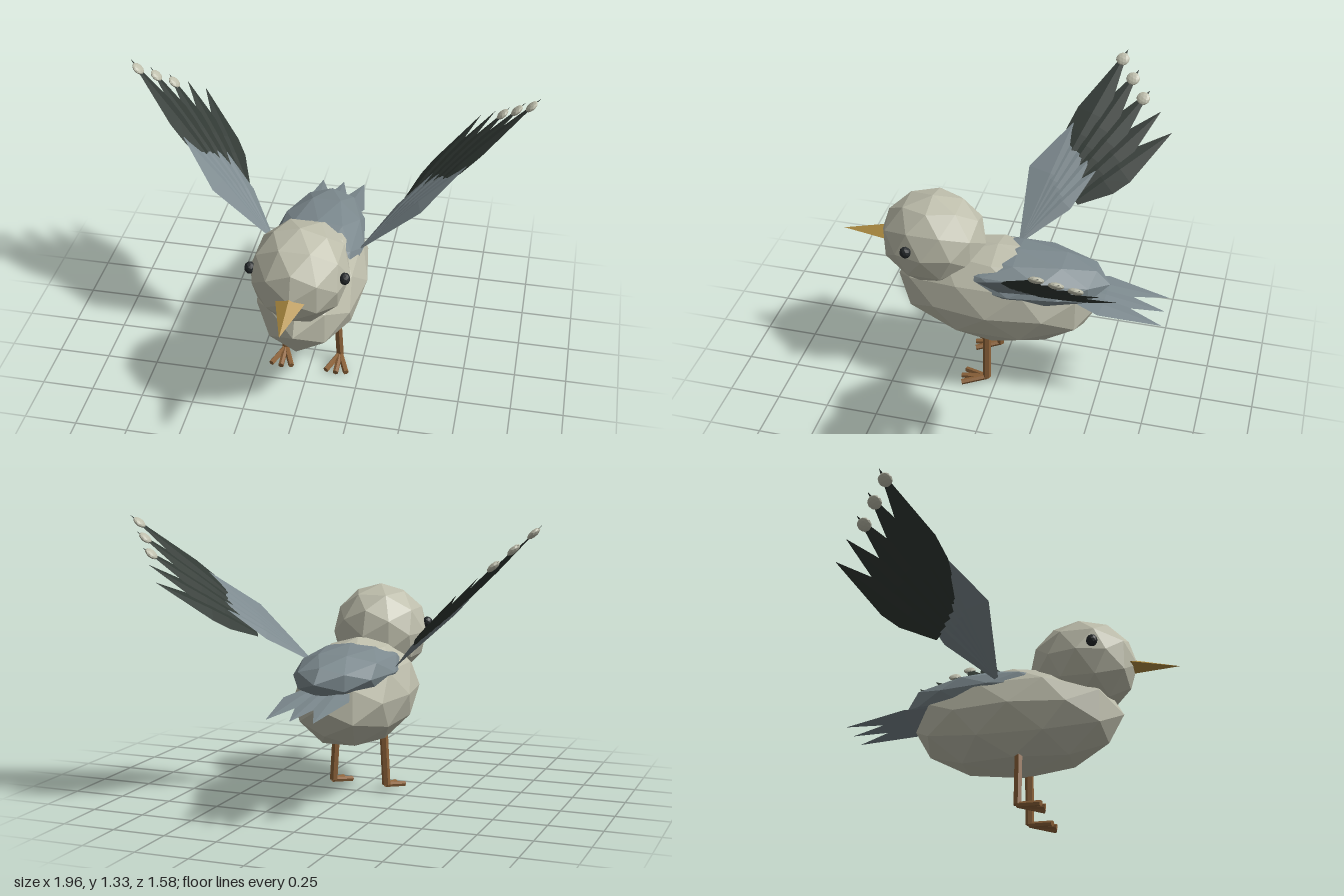
import * as THREE from 'three';

const V = (x, y, z) => new THREE.Vector3(x, y, z);
const paint = (name, color) => {
  const m = new THREE.MeshStandardMaterial({ color, flatShading: true });
  m.name = name;
  return m;
};

export function createModel() {
  const bird = new THREE.Group();
  bird.name = 'bird';
  const cream = paint('cream', 0xbdbdab);
  const slate = paint('slate', 0x7b888d);
  const dark = paint('darkFeather', 0x313934);
  const horn = paint('beakYellow', 0xb08d42);
  const brown = paint('legBrown', 0x8c6239);
  const black = paint('eyeBlack', 0x24282a);

  const add = (parent, name, geometry, material) => {
    const mesh = new THREE.Mesh(geometry, material);
    mesh.name = name;
    parent.add(mesh);
    return mesh;
  };

  // Faceted ellipsoid
  const blob = (parent, name, material, pos, rx, ry, rz) => {
    const g = new THREE.IcosahedronGeometry(1, 1).scale(rx, ry, rz);
    const mesh = add(parent, name, g, material);
    mesh.position.copy(pos);
    return mesh;
  };

  // Six-sided rod between two points
  const rod = (parent, name, material, a, b, r) => {
    const d = b.clone().sub(a);
    const mesh = add(parent, name, new THREE.CylinderGeometry(r, r, d.length(), 6), material);
    mesh.position.copy(a).add(b).multiplyScalar(0.5);
    mesh.quaternion.setFromUnitVectors(V(0, 1, 0), d.normalize());
  };

  // Right-handed frame of a feather: side, face normal, direction
  const frame = (root, tip, up) => {
    const d = tip.clone().sub(root).normalize();
    const s = up.clone().cross(d).normalize();
    return [s, d.clone().cross(s), d];
  };

  // Flat feather with a ridge; profile = [fraction along, half width]
  const feather = (parent, name, material, root, tip, up, profile, thick) => {
    const [s, n] = frame(root, tip, up);
    const wMax = Math.max(...profile.map((p) => p[1]));
    const rings = profile.map(([f, w]) => {
      const c = root.clone().lerp(tip, f);
      const t = (thick * w) / wMax;
      return [[s, w], [n, t], [s, -w], [n, -t]].map(([v, k]) => c.clone().addScaledVector(v, k));
    });
    const pts = [];
    for (let j = 0; j < rings.length - 1; j++) {
      for (let k = 0; k < 4; k++) {
        const a = rings[j], b = rings[j + 1], m = (k + 1) % 4;
        pts.push(a[k], a[m], b[m], a[k], b[m], b[k]);
      }
    }
    const g = new THREE.BufferGeometry().setFromPoints(pts);
    g.computeVertexNormals();
    return add(parent, name, g, material);
  };

  // Body, head and back
  blob(bird, 'body', cream, V(0, 0.49, 0.02), 0.26, 0.26, 0.5);
  blob(bird, 'head', cream, V(0, 0.742, 0.335), 0.23, 0.231, 0.257);
  blob(bird, 'mantle', slate, V(0, 0.61, -0.08), 0.225, 0.125, 0.445);

  // Beak
  const beakShape = new THREE.ConeGeometry(1, 0.25, 4).scale(0.073, 1, 0.04).rotateX(Math.PI / 2 + 0.08);
  add(bird, 'beak', beakShape, horn).position.set(0, 0.722, 0.665);

  // Tail feathers
  const tailProfile = [[0, 0.03], [0.42, 0.08], [1, 0.001]];
  for (const i of [-1, 0, 1]) {
    feather(bird, 'tailFeather', slate, V(i * 0.055, 0.57, -0.3), V(i * 0.11, 0.5, -0.79),
      V(0, 1, 0), tailProfile, 0.008);
  }

  for (const side of [1, -1]) {
    const label = side > 0 ? 'left' : 'right';
    const P = (x, y, z) => V(side * x, y, z);

    blob(bird, label + 'Eye', black, P(0.217, 0.78, 0.41), 0.025, 0.029, 0.027);

    // Leg with three front toes
    const leg = new THREE.Group();
    leg.name = label + 'Leg';
    bird.add(leg);
    const ankle = P(0.137, 0.035, 0.043);
    rod(leg, 'shank', brown, P(0.122, 0.29, 0.045), ankle, 0.02);
    for (const t of [-1, 0, 1]) {
      rod(leg, 'toe', brown, ankle, P(0.137 + t * 0.05, 0.016, 0.17 - Math.abs(t) * 0.01), 0.014);
    }

    // Raised wing: dark flight feathers under a fan of slate coverts
    const wing = new THREE.Group();
    wing.name = label + 'Wing';
    bird.add(wing);
    const root = P(0.22, 0.63, -0.04);
    const up = P(-0.68, 0.73, 0);
    for (let i = 0; i < 5; i++) {
      const k = i / 4;
      const tip = P(0.98 - 0.071 * i, 1.33 - 0.069 * i, -0.395 - 0.07 * i);
      feather(wing, 'flightFeather', dark, root, tip, up,
        [[0.36, 0.02], [0.55, 0.078], [0.66, 0.08], [1, 0.001]], 0.008);

      const end = P(0.68, 1.05, -0.19).lerp(P(0.51, 0.895, -0.34), k);
      const covert = feather(wing, 'covertFeather', slate, root, end, up,
        [[0, 0.01], [0.56, 0.115 - 0.06 * k], [1, 0.002]], 0.008);
      covert.position.copy(up).multiplyScalar(0.005);

      // Pale spots on the three leading feathers
      if (i < 3) {
        const spot = blob(wing, 'featherSpot', cream, root.clone().lerp(tip, 0.95), 0.034, 0.014, 0.034);
        spot.quaternion.setFromRotationMatrix(new THREE.Matrix4().makeBasis(...frame(root, tip, up)));
      }
    }
  }
  return bird;
}
